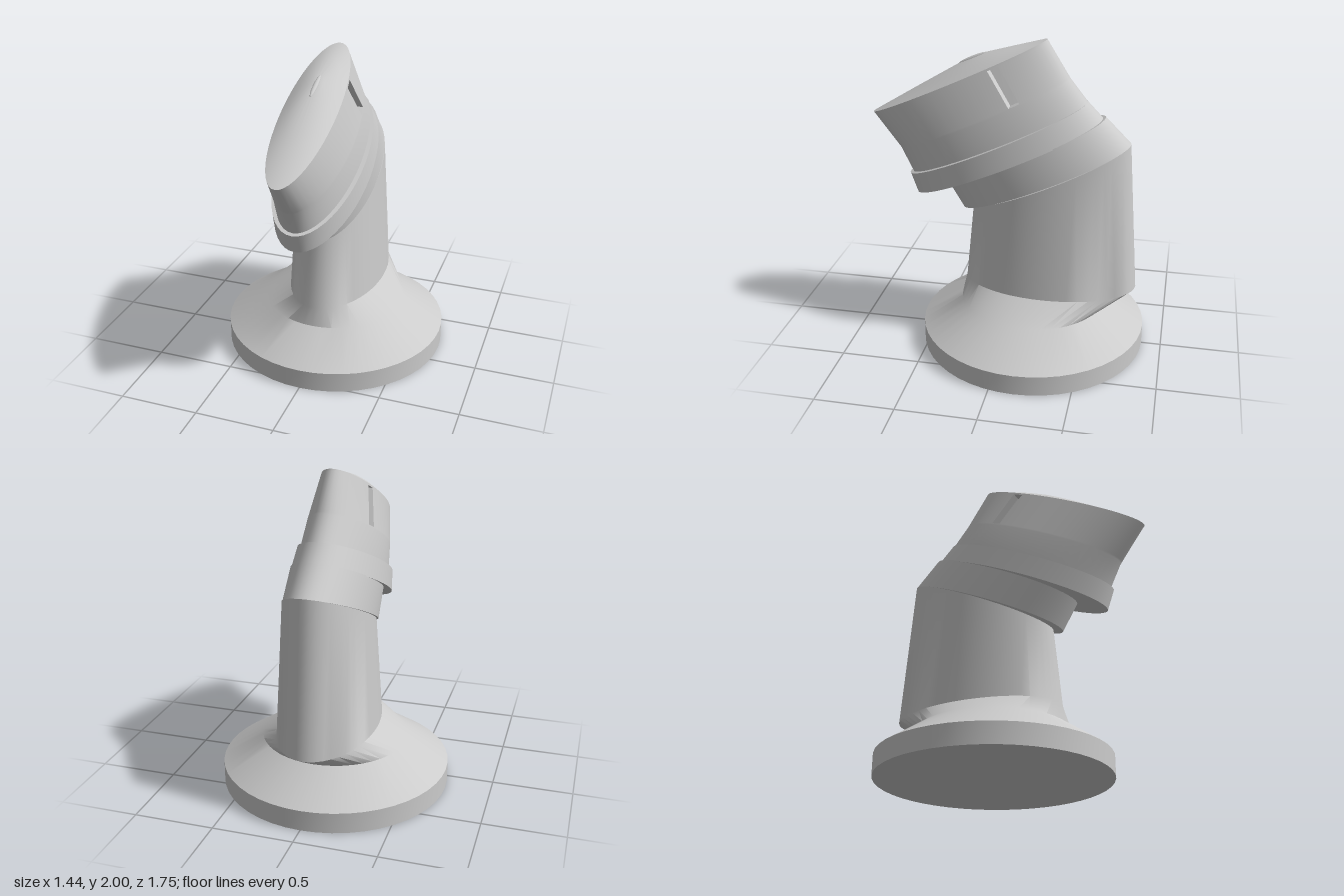
import * as THREE from 'three';
import { toCreasedNormals } from 'three/addons/utils/BufferGeometryUtils.js';

const N = 48;
const material = new THREE.MeshStandardMaterial({ color: 0xcccccc });

// An elliptical section: front [z, y], back [z, y] and half width in x
const section = (front, back, w) => ({ front, back, w });

const mix = (a, b, t) => a + (b - a) * t;
const between = (a, b, t) => section(
  a.front.map((v, i) => mix(v, b.front[i], t)),
  a.back.map((v, i) => mix(v, b.back[i], t)),
  mix(a.w, b.w, t));

function ringPoint(s, j) {
  const angle = (j % N) / N * Math.PI * 2;
  const t = (1 - Math.cos(angle)) / 2;
  return [
    s.w * Math.sin(angle),
    mix(s.front[1], s.back[1], t),
    mix(s.front[0], s.back[0], t),
  ];
}

// Closed loft through sections from bottom to top; cells chosen by isPocket are recessed
function loft(name, sections, crease, isPocket = () => false, depth = 0.06) {
  const pos = [];
  const tri = (a, b, c) => pos.push(...a, ...b, ...c);
  const quad = (a, b, c, d) => { tri(a, b, c); tri(a, c, d); };
  const centre = s => [0, (s.front[1] + s.back[1]) / 2, (s.front[0] + s.back[0]) / 2];
  const first = sections[0];
  const last = sections[sections.length - 1];

  for (let j = 0; j < N; j++) {
    tri(centre(first), ringPoint(first, j + 1), ringPoint(first, j));
    tri(centre(last), ringPoint(last, j), ringPoint(last, j + 1));
    for (let i = 0; i < sections.length - 1; i++) {
      const outer = [
        ringPoint(sections[i], j), ringPoint(sections[i], j + 1),
        ringPoint(sections[i + 1], j + 1), ringPoint(sections[i + 1], j),
      ];
      if (!isPocket(i, j)) {
        quad(...outer);
        continue;
      }
      const inner = outer.map(([x, y, z]) => [x - Math.sign(x) * depth, y, z]);
      quad(...inner);
      for (let k = 0; k < 4; k++) {
        const n = (k + 1) % 4;
        quad(outer[k], outer[n], inner[n], inner[k]);
      }
    }
  }
  const geometry = new THREE.BufferGeometry();
  geometry.setAttribute('position', new THREE.Float32BufferAttribute(pos, 3));
  const mesh = new THREE.Mesh(toCreasedNormals(geometry, crease), material);
  mesh.name = name;
  return mesh;
}

export function createModel() {
  const model = new THREE.Group();
  model.name = 'helmetOnStand';

  // Round foot flowing into the long oval neck, cut at a slant on top
  model.add(loft('baseAndNeck', [
    section([0.565, 0], [-0.875, 0], 0.72),
    section([0.565, 0.13], [-0.875, 0.13], 0.72),
    section([0.31, 0.30], [-0.62, 0.30], 0.465),
    section([0.285, 0.42], [-0.815, 0.42], 0.30),
    section([0.235, 0.92], [-0.74, 1.38], 0.255),
  ], 0.65));

  // Slanted collar between neck and head
  model.add(loft('collar', [
    section([0.30, 0.90], [-0.74, 1.38], 0.255),
    section([0.40, 1.07], [-0.58, 1.54], 0.255),
  ], 0.6));

  // Rim around the lower edge of the head
  model.add(loft('rim', [
    section([0.60, 0.98], [-0.57, 1.525], 0.275),
    section([0.645, 1.105], [-0.47, 1.63], 0.262),
  ], 0.6));

  // Head shell with a low domed top and a slot in each side
  const lower = section([0.625, 1.115], [-0.47, 1.63], 0.235);
  const middle = section([0.70, 1.27], [-0.36, 1.77], 0.22);
  const top = section([0.87, 1.49], [-0.22, 2.0], 0.165);
  model.add(loft('head', [
    lower,
    middle,
    between(middle, top, 0.04),
    between(middle, top, 0.95),
    top,
    section([0.60, 1.655], [-0.05, 1.955], 0.115),
    section([0.31, 1.83], [0.14, 1.905], 0.04),
  ], 0.6, (i, j) => i === 2 && (j === 15 || j === 32)));

  // Small lens-shaped inset on the crown
  const crest = new THREE.Mesh(new THREE.SphereGeometry(1, 24, 12), material);
  crest.name = 'crownInset';
  crest.scale.set(0.015, 0.012, 0.095);
  crest.position.set(0, 1.865, 0.23);
  crest.rotation.x = 0.42;
  model.add(crest);

  return model;
}
